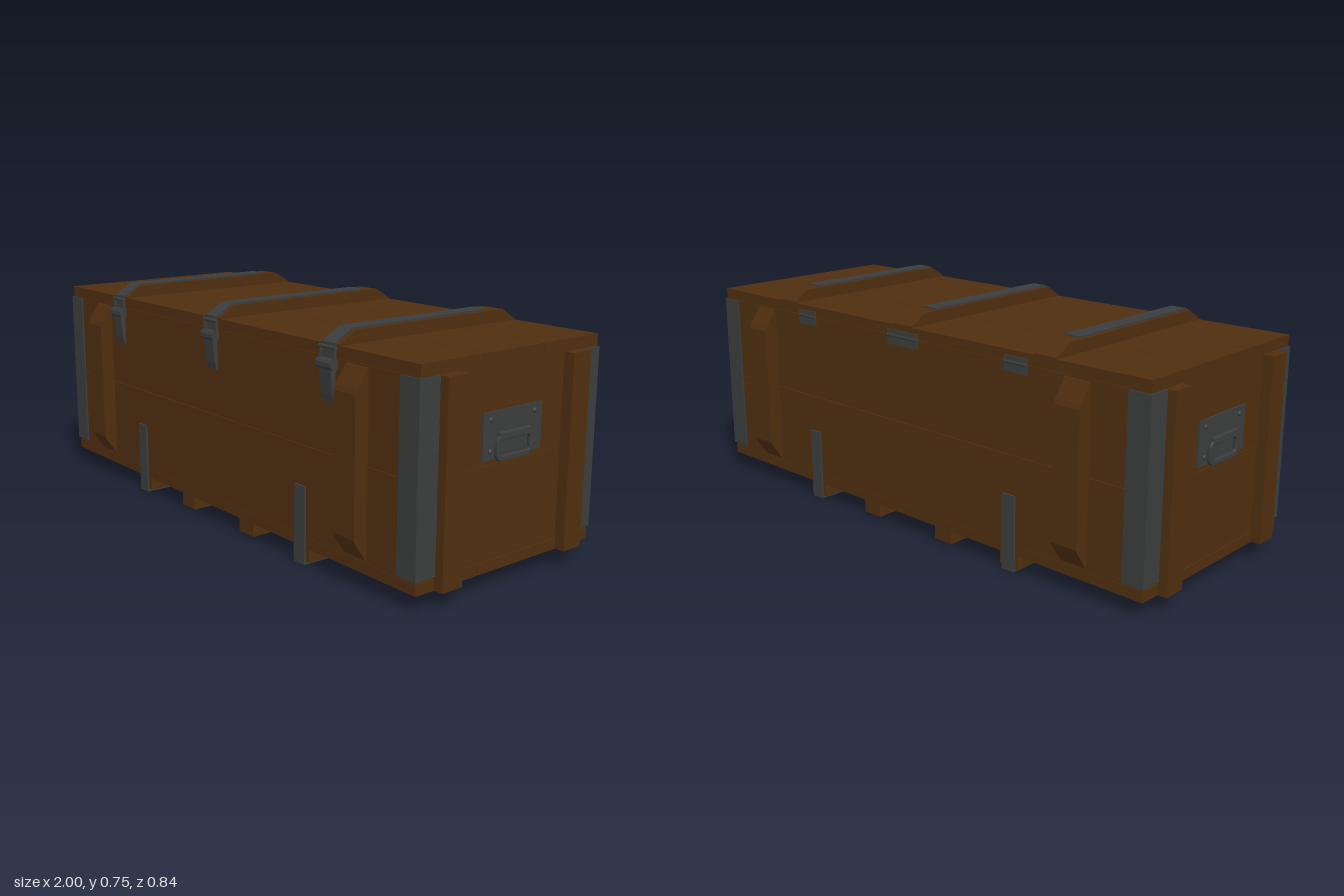
import * as THREE from 'three';

const wood = new THREE.MeshStandardMaterial({ name: 'brown wood', color: 0x4f2e0f });
const metal = new THREE.MeshStandardMaterial({ name: 'dark metal', color: 0x3b3c3d });

function add(parent, name, geometry, material) {
  const mesh = new THREE.Mesh(geometry, material);
  mesh.name = name;
  parent.add(mesh);
  return mesh;
}

// Box given by its limits along each axis
function box(parent, name, material, [x0, x1], [y0, y1], [z0, z1]) {
  const mesh = add(parent, name, new THREE.BoxGeometry(x1 - x0, y1 - y0, z1 - z0), material);
  mesh.position.set((x0 + x1) / 2, (y0 + y1) / 2, (z0 + z1) / 2);
  return mesh;
}

// Side profile of [z, y] points, extruded along x and centred on x
function profile(parent, name, material, points, x, width) {
  const shape = new THREE.Shape(points.map(([z, y]) => new THREE.Vector2(z, y)));
  const geometry = new THREE.ExtrudeGeometry(shape, { depth: width, bevelEnabled: false });
  geometry.rotateY(-Math.PI / 2).translate(x + width / 2, 0, 0);
  return add(parent, name, geometry, material);
}

// Bent flat strip: the path is thickened to its left with mitred corners
function strip(parent, name, path, x, width, thickness) {
  const points = path.map(([a, b]) => new THREE.Vector2(a, b));
  const normals = points.slice(1).map((p, i) => {
    const d = p.clone().sub(points[i]).normalize();
    return new THREE.Vector2(-d.y, d.x);
  });
  const outer = points.map((p, i) => {
    const a = normals[Math.max(i - 1, 0)];
    const b = normals[Math.min(i, normals.length - 1)];
    const m = a.clone().add(b).normalize();
    const q = p.clone().addScaledVector(m, thickness / m.dot(a));
    return [q.x, q.y];
  });
  return profile(parent, name, metal, [...path, ...outer.reverse()], x, width);
}

function roundedRect(target, w, h, r) {
  target.moveTo(w - r, -h);
  target.absarc(w - r, -h + r, r, -Math.PI / 2, 0);
  target.absarc(w - r, h - r, r, 0, Math.PI / 2);
  target.absarc(-w + r, h - r, r, Math.PI / 2, Math.PI);
  target.absarc(-w + r, -h + r, r, Math.PI, Math.PI * 1.5);
  target.closePath();
  return target;
}

// End wall with battens, metal plate and carrying handle, facing +x
function createEnd() {
  const end = new THREE.Group();
  for (const y of [[0.09, 0.379], [0.381, 0.67]]) {
    box(end, 'endBoard', wood, [0.935, 0.964], y, [-0.34, 0.34]);
  }
  for (const s of [-1, 1]) {
    box(end, 'endBatten', wood, [0.96, 1.0], [0.056, 0.669], [s * 0.26 - 0.039, s * 0.26 + 0.039]);
  }
  box(end, 'handlePlate', metal, [0.962, 0.97], [0.395, 0.536], [-0.124, 0.124]);
  for (const z of [-0.092, 0.092]) {
    for (const y of [0.42, 0.513]) {
      const rivet = add(end, 'rivet', new THREE.SphereGeometry(0.009, 12, 8), metal);
      rivet.scale.x = 0.6;
      rivet.position.set(0.97, y, z);
    }
  }
  const loop = roundedRect(new THREE.Shape(), 0.075, 0.036, 0.02);
  loop.holes.push(roundedRect(new THREE.Path(), 0.065, 0.026, 0.012));
  const handle = add(end, 'handle', new THREE.ExtrudeGeometry(loop, {
    depth: 0.007, bevelEnabled: true, bevelSize: 0.003, bevelThickness: 0.003, bevelSegments: 2, curveSegments: 6,
  }), metal);
  handle.rotation.y = Math.PI / 2;
  handle.position.set(0.973, 0.427, 0);
  const pin = add(end, 'handlePivot', new THREE.CylinderGeometry(0.008, 0.008, 0.13, 12), metal);
  pin.rotation.x = Math.PI / 2;
  pin.position.set(0.975, 0.467, 0);
  return end;
}

// Long wall with its bevelled battens, facing +z
function createSide() {
  const side = new THREE.Group();
  for (const y of [[0.09, 0.379], [0.381, 0.67]]) {
    box(side, 'sideBoard', wood, [-0.964, 0.964], y, [0.34, 0.37]);
  }
  const bevel = [[0.36, 0.096], [0.374, 0.1], [0.413, 0.156], [0.419, 0.17],
    [0.419, 0.593], [0.413, 0.607], [0.374, 0.664], [0.36, 0.668]];
  for (const x of [-0.718, 0.718]) profile(side, 'sideBatten', wood, bevel, x, 0.094);
  return side;
}

export function createModel() {
  const crate = new THREE.Group();
  crate.name = 'crate';

  // Walls
  for (const turn of [0, Math.PI]) {
    const end = createEnd();
    end.name = turn ? 'rightEnd' : 'leftEnd';
    end.rotation.y = turn;
    const side = createSide();
    side.name = turn ? 'backWall' : 'frontWall';
    side.rotation.y = turn;
    crate.add(end, side);
  }

  // Lid and floor, three planks each
  for (const [z0, z1] of [[-0.37, -0.125], [-0.123, 0.123], [0.125, 0.37]]) {
    box(crate, 'lidPlank', wood, [-0.967, 0.967], [0.671, 0.707], [z0, z1]);
    box(crate, 'floorPlank', wood, [-0.967, 0.967], [0.055, 0.089], [z0, z1]);
  }

  // Metal corner guards
  for (const sx of [-1, 1]) {
    for (const sz of [-1, 1]) {
      const guard = new THREE.Group();
      guard.name = 'cornerGuard';
      box(guard, 'guardSideFace', metal, [sx * 0.933 - 0.038, sx * 0.933 + 0.038],
        [0.098, 0.668], [sz * 0.372 - 0.004, sz * 0.372 + 0.004]);
      box(guard, 'guardEndFace', metal, [sx * 0.967 - 0.004, sx * 0.967 + 0.004],
        [0.098, 0.668], [sz * 0.3365 - 0.0375, sz * 0.3365 + 0.0375]);
      crate.add(guard);
    }
  }

  // Lid battens, straps and latches
  for (const x of [-0.597, 0, 0.597]) {
    profile(crate, 'lidBatten', wood,
      [[-0.369, 0.705], [0.369, 0.705], [0.369, 0.711], [0.31, 0.747], [-0.31, 0.747], [-0.369, 0.711]], x, 0.086);
    strip(crate, 'lidStrap', [[0.37, 0.66], [0.37, 0.711], [0.31, 0.747], [-0.25, 0.747]].reverse(), x, 0.058, 0.005);

    const latch = new THREE.Group();
    latch.name = 'latch';
    latch.position.x = x;
    profile(latch, 'latchLever', metal,
      [[0.368, 0.535], [0.376, 0.535], [0.382, 0.56], [0.39, 0.64], [0.388, 0.66], [0.368, 0.66]], 0, 0.052);
    profile(latch, 'latchClasp', metal,
      [[0.368, 0.636], [0.39, 0.636], [0.397, 0.645], [0.397, 0.658], [0.39, 0.667], [0.368, 0.667]], 0, 0.07);
    for (const s of [-1, 1]) {
      box(latch, 'latchLink', metal, [s * 0.031 - 0.004, s * 0.031 + 0.004], [0.655, 0.7], [0.376, 0.384]);
    }
    const bar = add(latch, 'latchBar', new THREE.CylinderGeometry(0.006, 0.006, 0.076, 12), metal);
    bar.rotation.z = Math.PI / 2;
    bar.position.set(0, 0.7, 0.379);
    crate.add(latch);
  }

  // Hinges along the back seam
  for (const [x, width] of [[-0.485, 0.09], [0, 0.14], [0.485, 0.09]]) {
    box(crate, 'hingeLeaf', metal, [x - width / 2, x + width / 2], [0.64, 0.69], [-0.374, -0.366]);
    const barrel = add(crate, 'hingeBarrel', new THREE.CylinderGeometry(0.006, 0.006, width, 12), metal);
    barrel.rotation.z = Math.PI / 2;
    barrel.position.set(x, 0.67, -0.371);
  }

  // Runners under the floor, the outer two wrapped in metal straps
  for (const x of [-0.463, -0.173, 0.173, 0.463]) {
    box(crate, 'runner', wood, [x - 0.038, x + 0.038], [0.01, 0.056], [-0.369, 0.369]);
  }
  for (const x of [-0.463, 0.463]) {
    strip(crate, 'runnerStrap', [[0.37, 0.252], [0.37, 0.007], [-0.37, 0.007], [-0.37, 0.252]].reverse(), x, 0.05, -0.007);
  }
  return crate;
}
